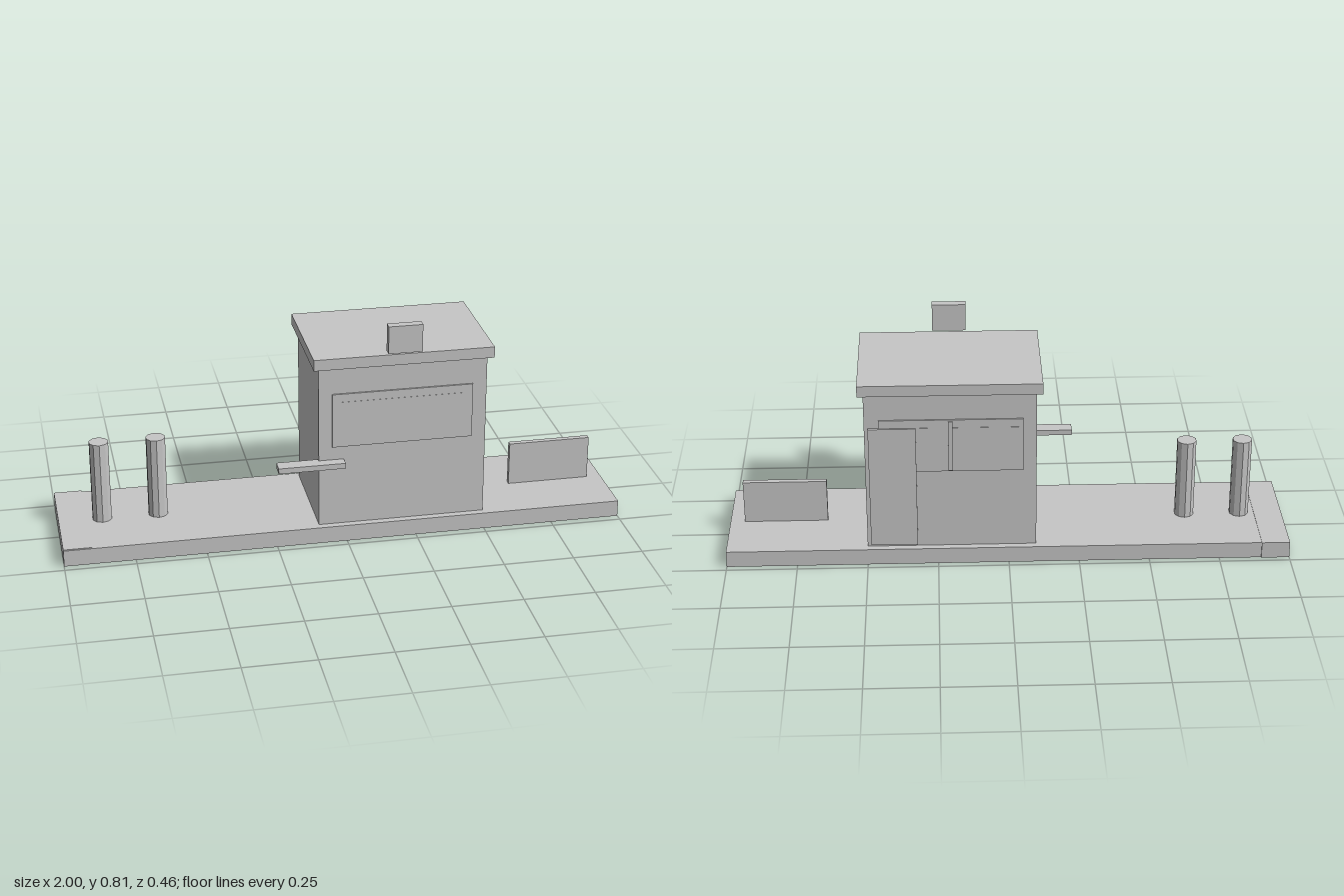
import * as THREE from 'three';

export function createModel() {
  const model = new THREE.Group();
  model.name = 'kiosk';
  const grey = new THREE.MeshStandardMaterial({ color: 0xc6c6c6, flatShading: true });
  grey.name = 'plain light grey';

  const add = (name, geometry, x, y, z) => {
    const mesh = new THREE.Mesh(geometry, grey);
    mesh.name = name;
    mesh.position.set(x, y, z);
    model.add(mesh);
    return mesh;
  };
  // Box given by its low and high limits on each axis
  const box = (name, [x0, x1], [y0, y1], [z0, z1]) =>
    add(name, new THREE.BoxGeometry(x1 - x0, y1 - y0, z1 - z0),
      (x0 + x1) / 2, (y0 + y1) / 2, (z0 + z1) / 2);

  // Platform and its slightly raised end strip
  box('platform', [-1, 1], [0, 0.06], [-0.227, 0.222]);
  box('edgeStrip', [-1, -0.9], [0.001, 0.062], [-0.232, 0.217]);

  // Booth with overhanging roof
  box('boothWalls', [-0.097, 0.5], [0.06, 0.66], [-0.202, 0.196]);
  box('roof', [-0.117, 0.52], [0.66, 0.7], [-0.222, 0.217]);

  // Front window, serving counter and floating sign
  box('frontWindow', [-0.05, 0.45], [0.36, 0.56], [0.194, 0.202]);
  box('frontWindowHeader', [-0.02, 0.42], [0.505, 0.53], [0.198, 0.203]);
  box('counter', [-0.245, -0.008], [0.29, 0.31], [0.183, 0.233]);
  box('sign', [0.14, 0.26], [0.71, 0.81], [0.202, 0.233]);

  // Back window with its mullion, and the door
  box('backWindow', [-0.05, 0.45], [0.36, 0.56], [-0.207, -0.199]);
  box('backWindowHeader', [-0.04, 0.44], [0.526, 0.53], [-0.208, -0.2]);
  box('mullion', [0.195, 0.21], [0.365, 0.555], [-0.213, -0.204]);
  box('door', [0.322, 0.487], [0.07, 0.53], [-0.213, -0.2]);

  // Bollards on the right half, upright panel on the left end
  for (const x of [-0.845, -0.645])
    add('bollard', new THREE.CylinderGeometry(0.035, 0.035, 0.3, 10), x, 0.21, -0.003);
  box('panel', [0.648, 0.948], [0.06, 0.22], [-0.012, 0.008]);

  return model;
}
